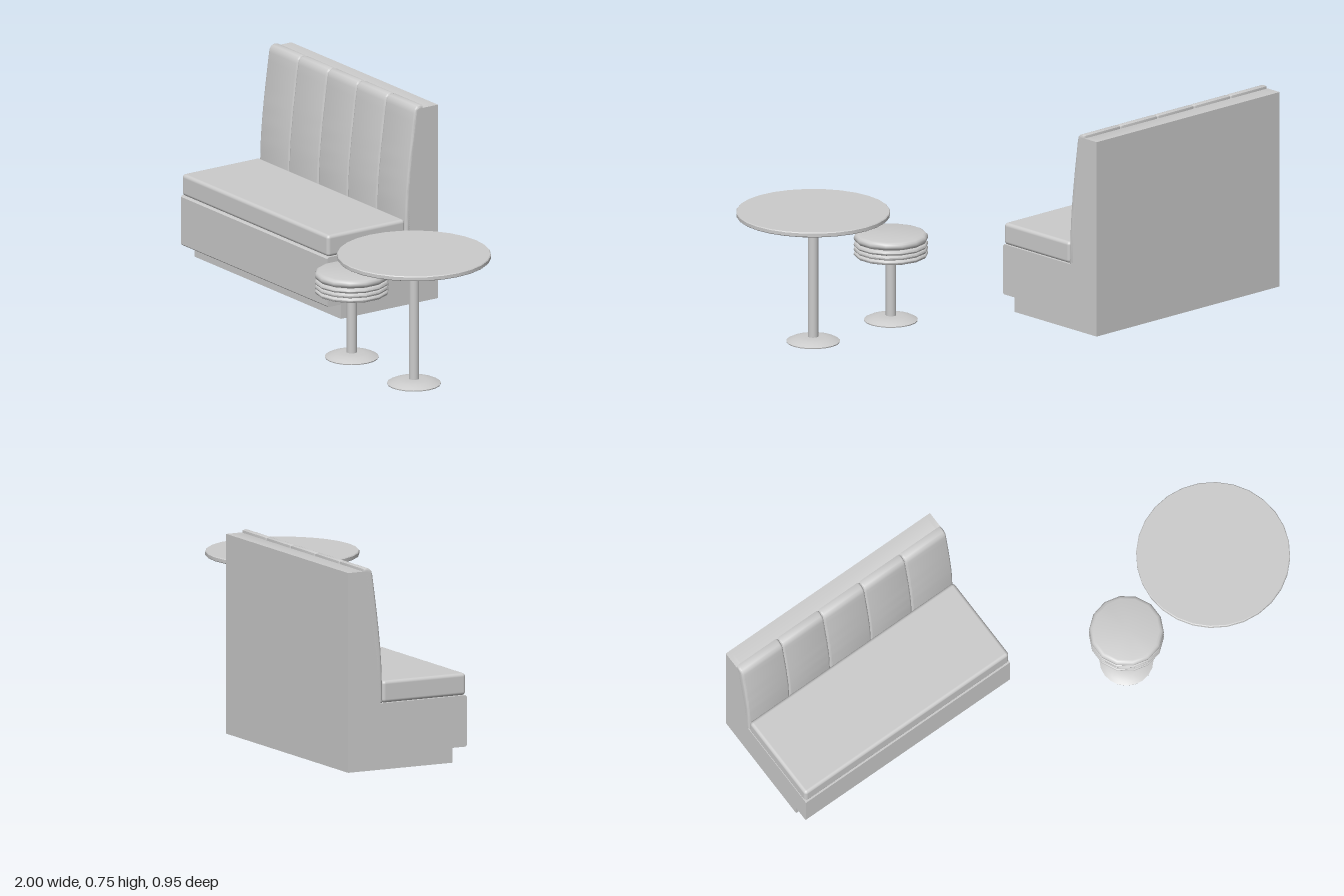
import * as THREE from 'three';
import { toCreasedNormals } from 'three/addons/utils/BufferGeometryUtils.js';
import { RoundedBoxGeometry } from 'three/addons/geometries/RoundedBoxGeometry.js';

const material = new THREE.MeshStandardMaterial({ color: 0xcccccc });
const openMaterial = new THREE.MeshStandardMaterial({ color: 0xcccccc, side: THREE.DoubleSide });

function addMesh(parent, name, geometry, mat = material) {
  const mesh = new THREE.Mesh(geometry, mat);
  mesh.name = name;
  parent.add(mesh);
  return mesh;
}

// Extrudes a (z, y) outline along x between x0 and x1
function extrudeAcross(points, x0, x1, bevel = 0) {
  const shape = new THREE.Shape(points.map(([z, y]) => new THREE.Vector2(z, y)));
  const geo = new THREE.ExtrudeGeometry(shape, {
    depth: x1 - x0 - 2 * bevel, bevelEnabled: bevel > 0, bevelSize: bevel,
    bevelThickness: bevel, bevelOffset: -bevel, bevelSegments: 3,
  });
  geo.rotateY(-Math.PI / 2);
  geo.translate(x1 - bevel, 0, 0);
  return toCreasedNormals(geo, 0.6);
}

function lathe(points, segments) {
  const geo = new THREE.LatheGeometry(points.map(([r, y]) => new THREE.Vector2(r, y)), segments);
  return toCreasedNormals(geo, 0.7);
}

// Front line of the backrest, bottom to top, shifted along z
function backCurve(shift) {
  const curve = new THREE.SplineCurve([
    [-0.33, 0.246], [-0.334, 0.4], [-0.348, 0.55], [-0.371, 0.725],
  ].map(([z, y]) => new THREE.Vector2(z + shift, y)));
  return curve.getPoints(12).map((p) => [p.x, p.y]);
}

function createBooth() {
  const booth = new THREE.Group();
  booth.name = 'booth';
  const left = -0.075, right = -1, wall = 0.02;

  // Body outline from the toe kick up over the seat and backrest
  const upper = [
    [-0.04, 0], [-0.04, 0.055], [0.015, 0.055], [0.02, 0.06], [0.02, 0.24], [0.015, 0.246],
    ...backCurve(-0.01), [-0.386, 0.736], [-0.398, 0.742], [-0.475, 0.742], [-0.475, 0],
  ];
  const cavity = [[-0.455, 0], [-0.455, 0.225], [-0.06, 0.225], [-0.06, 0]];
  addMesh(booth, 'frame', extrudeAcross([...upper, ...cavity], right + wall, left - wall));
  addMesh(booth, 'rightEndPanel', extrudeAcross(upper, right, right + wall));
  addMesh(booth, 'leftEndPanel', extrudeAcross(upper, left - wall, left));

  // Seat cushion
  const seat = addMesh(booth, 'seatCushion', new RoundedBoxGeometry(left - right, 0.082, 0.348, 3, 0.013));
  seat.position.set((left + right) / 2, 0.287, -0.156);

  // Upholstered back channels, rolled over the top edge
  const pad = [
    ...backCurve(0), [-0.375, 0.741], [-0.384, 0.75], [-0.396, 0.754], [-0.41, 0.751],
    [-0.412, 0.735], [-0.405, 0.72], [-0.36, 0.4], [-0.36, 0.246],
  ];
  const width = (left - right) / 5;
  for (let i = 0; i < 5; i++) {
    const x = right + i * width;
    addMesh(booth, 'backChannel' + (i + 1), extrudeAcross(pad, x, x + width, 0.008));
  }
  return booth;
}

// Round foot plate and post, shared by the stool and the table
function addPedestal(parent, height) {
  addMesh(parent, 'footPlate', lathe([
    [0.019, 0], [0.098, 0], [0.099, 0.004], [0.085, 0.011], [0.065, 0.017], [0.045, 0.02], [0.019, 0.02],
  ], 20));
  const post = addMesh(parent, 'post', new THREE.CylinderGeometry(0.019, 0.019, height, 16, 1, true), openMaterial);
  post.position.y = height / 2;
}

function createStool() {
  const stool = new THREE.Group();
  stool.name = 'stool';
  addPedestal(stool, 0.25);

  // Three ribbed rings below a thicker cushion
  const profile = [[0, 0.248]];
  const addRoll = (y0, y1, radius, bulge) => {
    for (let i = 0; i <= 6; i++) {
      const a = -Math.PI / 2 + (Math.PI * i) / 6;
      profile.push([radius + bulge * Math.cos(a), (y0 + y1) / 2 + ((y1 - y0) / 2) * Math.sin(a)]);
    }
  };
  for (let i = 0; i < 3; i++) addRoll(0.248 + i * 0.018, 0.266 + i * 0.018, 0.127, 0.01);
  addRoll(0.302, 0.333, 0.121, 0.016);
  profile.push([0, 0.333]);
  addMesh(stool, 'stoolSeat', lathe(profile, 14));
  stool.position.set(0.325, 0, 0.195);
  return stool;
}

function createTable() {
  const table = new THREE.Group();
  table.name = 'table';
  addPedestal(table, 0.484);
  addMesh(table, 'tableTop', lathe([
    [0, 0.481], [0.279, 0.481], [0.282, 0.484], [0.282, 0.496], [0.279, 0.499], [0, 0.499],
  ], 28));
  table.position.set(0.718, 0, 0.195);
  return table;
}

export function createModel() {
  const model = new THREE.Group();
  model.name = 'dinerFurniture';
  model.add(createBooth(), createStool(), createTable());
  return model;
}
